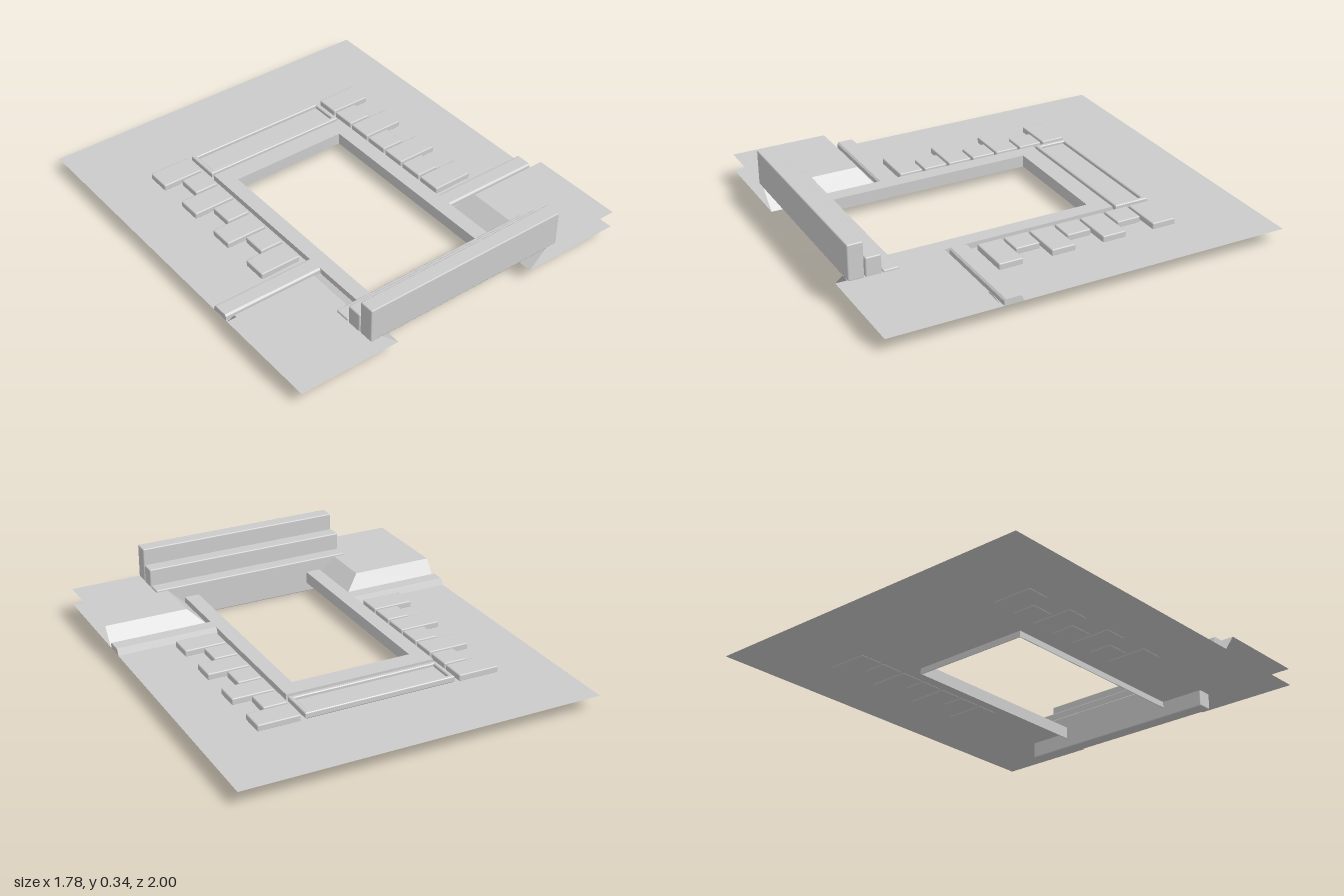
import * as THREE from 'three';
import { RoundedBoxGeometry } from 'three/addons/geometries/RoundedBoxGeometry.js';

const WALL = 0.08;    // height of the wall sheet
const RELIEF = 0.11;  // top of the raised trim

const solid = new THREE.MeshStandardMaterial({ color: 0xcccccc });
const thin = new THREE.MeshStandardMaterial({ color: 0xcccccc, side: THREE.DoubleSide, flatShading: true });

function add(parent, name, geometry, material = solid) {
  const mesh = new THREE.Mesh(geometry, material);
  mesh.name = name;
  parent.add(mesh);
  return mesh;
}

// Box given by its limits, with softened edges
function block(parent, name, [x0, x1], [y0, y1], [z0, z1], r = 0.006) {
  const mesh = add(parent, name, new RoundedBoxGeometry(x1 - x0, y1 - y0, z1 - z0, 1, r));
  mesh.position.set((x0 + x1) / 2, (y0 + y1) / 2, (z0 + z1) / 2);
  return mesh;
}

// Shape from [x, z] points, ready to be laid flat
const planShape = (pts) => new THREE.Shape(pts.map(([x, z]) => new THREE.Vector2(x, -z)));

// Three-sided outline around the doorway, open towards +z
const archPoints = (outX, outZ, inX, inZ, end) => [
  [-outX, end], [-outX, outZ], [outX, outZ], [outX, end],
  [inX, end], [inX, inZ], [-inX, inZ], [-inX, end],
];

function slab(shape, y0, y1) {
  const g = new THREE.ExtrudeGeometry(shape, { depth: y1 - y0, bevelEnabled: false });
  return g.rotateX(-Math.PI / 2).translate(0, y0, 0);
}

// Flat-shaded faces from lists of four corners
function quads(list) {
  const pos = [];
  for (const [a, b, c, d] of list) pos.push(...a, ...b, ...c, ...a, ...c, ...d);
  const g = new THREE.BufferGeometry();
  g.setAttribute('position', new THREE.Float32BufferAttribute(pos, 3));
  g.computeVertexNormals();
  return g;
}

export function createModel() {
  const model = new THREE.Group();
  model.name = 'doorwayWallPanel';

  // Thin wall sheet, cut out around the door frame
  const sheet = new THREE.ShapeGeometry(planShape(archPoints(0.89, -1, 0.38, -0.4, 1)));
  sheet.rotateX(-Math.PI / 2).translate(0, WALL, 0);
  add(model, 'wallSheet', sheet, thin);

  // Door frame with a deeper inner lip
  add(model, 'doorFrame', slab(planShape(archPoints(0.38, -0.4, 0.305, -0.305, 0.77)), WALL, RELIEF));
  add(model, 'doorFrameLip', slab(planShape(archPoints(0.309, -0.309, 0.305, -0.305, 0.77)), 0.05, WALL + 0.005));

  // Lintel panel: bevelled rim around a sunken field
  const lintel = new THREE.Group();
  lintel.name = 'lintel';
  model.add(lintel);
  const rim = planShape([[-0.376, -0.588], [0.376, -0.588], [0.376, -0.422], [-0.376, -0.422]]);
  rim.holes.push(planShape([[-0.363, -0.575], [-0.363, -0.435], [0.363, -0.435], [0.363, -0.575]]));
  const rimGeo = new THREE.ExtrudeGeometry(rim, {
    depth: 0.022, bevelEnabled: true, bevelSize: 0.004, bevelThickness: 0.004, bevelSegments: 1,
  });
  add(lintel, 'lintelRim', rimGeo.rotateX(-Math.PI / 2).translate(0, WALL + 0.004, 0));
  block(lintel, 'lintelField', [-0.355, 0.355], [WALL, 0.1], [-0.566, -0.444], 0.004);

  for (const side of [1, -1]) {
    const half = new THREE.Group();
    half.name = side > 0 ? 'leftSide' : 'rightSide';
    model.add(half);
    const span = (a, b) => (side > 0 ? [a, b] : [-b, -a]);

    // Quoin stones, alternately long and short
    for (let i = 0; i < 7; i++) {
      const z = -0.595 + i * 0.133;
      block(half, 'quoin', span(0.403, i % 2 ? 0.522 : 0.612), [WALL - 0.004, RELIEF], [z, z + 0.122]);
    }

    // Ledge moulding above the plinth
    const ledge = new THREE.Shape([
      [0.355, WALL], [0.366, RELIEF - 0.003], [0.375, RELIEF], [0.442, RELIEF], [0.45, RELIEF - 0.008], [0.45, WALL],
    ].map(([z, y]) => new THREE.Vector2(-z, y)));
    const ledgeGeo = new THREE.ExtrudeGeometry(ledge, { depth: 0.51, bevelEnabled: false });
    ledgeGeo.rotateY(Math.PI / 2).translate(side > 0 ? 0.38 : -0.89, 0, 0);
    add(half, 'ledge', ledgeGeo);

    // Open plinth shell with mitred slopes
    const P = (x, y, z) => [side * x, y, z];
    const top = 0.165;
    const faces = [
      [P(0.47, top, 0.52), P(0.47, top, 1), P(0.89, top, 1), P(0.89, top, 0.52)],
      [P(0.38, WALL, 0.457), P(0.47, top, 0.52), P(0.89, top, 0.52), P(0.89, WALL, 0.457)],
      [P(0.38, WALL, 0.457), P(0.38, WALL, 1), P(0.47, top, 1), P(0.47, top, 0.52)],
    ];
    add(half, 'plinth', quads(side > 0 ? faces : faces.map((f) => [...f].reverse())), thin);
  }

  // Three entrance steps
  for (let i = 0; i < 3; i++) {
    const y = i * 0.081, z = 0.763 + i * 0.081;
    block(model, 'step', [-0.53, 0.53], [y, y + 0.175], [z, z + 0.075]);
  }

  return model;
}
